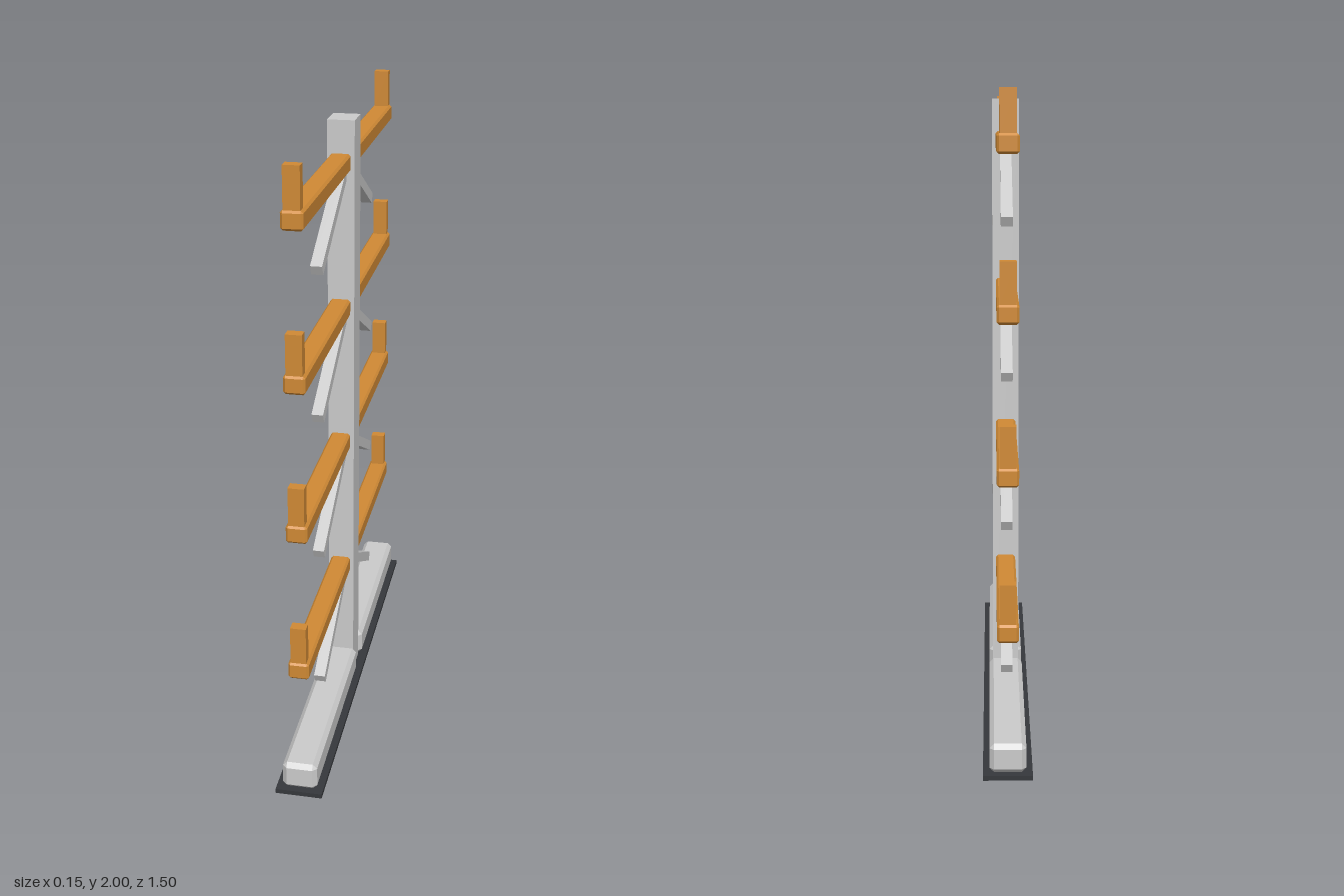
import * as THREE from 'three';
import { ConvexGeometry } from 'three/addons/geometries/ConvexGeometry.js';

const grey = new THREE.MeshStandardMaterial({ color: 0xcccccc, flatShading: true });
const orange = new THREE.MeshStandardMaterial({ color: 0xd08a35, flatShading: true });
const dark = new THREE.MeshStandardMaterial({ color: 0x36383c, flatShading: true });

// Box with every edge and corner cut by c
function chamferBox(w, h, d, c) {
  const points = [];
  for (const sx of [-1, 1]) for (const sy of [-1, 1]) for (const sz of [-1, 1]) {
    const x = w / 2, y = h / 2, z = d / 2;
    points.push(
      new THREE.Vector3(sx * x, sy * (y - c), sz * (z - c)),
      new THREE.Vector3(sx * (x - c), sy * y, sz * (z - c)),
      new THREE.Vector3(sx * (x - c), sy * (y - c), sz * z)
    );
  }
  return new ConvexGeometry(points);
}

function add(parent, name, geometry, material, y, z) {
  const mesh = new THREE.Mesh(geometry, material);
  mesh.name = name;
  mesh.position.set(0, y, z);
  parent.add(mesh);
  return mesh;
}

export function createModel() {
  const rack = new THREE.Group();
  rack.name = 'cantileverRack';

  add(rack, 'basePlate', new THREE.BoxGeometry(0.148, 0.015, 1.504), dark, 0.0075, 0);
  add(rack, 'post', new THREE.BoxGeometry(0.086, 1.965, 0.1), grey, 0.9975, 0);

  const footGeometry = chamferBox(0.11, 0.09, 0.694, 0.014);
  const armGeometry = chamferBox(0.064, 0.056, 0.678, 0.007);
  const stopGeometry = new THREE.BoxGeometry(0.048, 0.121, 0.034);

  // Brace runs from inside the post down and outward
  const inner = new THREE.Vector2(0.045, -0.035);
  const outer = new THREE.Vector2(0.418, -0.233);
  const middle = inner.clone().add(outer).multiplyScalar(0.5);
  const run = outer.clone().sub(inner);
  const braceGeometry = new THREE.BoxGeometry(0.036, 0.034, run.length());

  for (const side of [1, -1]) {
    add(rack, side > 0 ? 'frontFoot' : 'backFoot', footGeometry, grey, 0.06, side * 0.393);

    // Four levels of arms on each side
    for (let level = 0; level < 4; level++) {
      const arm = new THREE.Group();
      arm.name = (side > 0 ? 'frontArm' : 'backArm') + (level + 1);
      arm.position.y = 0.447 + level * 0.468;
      if (side < 0) arm.rotation.y = Math.PI;
      add(arm, 'beam', armGeometry, orange, 0, 0.392);
      add(arm, 'endStop', stopGeometry, orange, 0.0885, 0.71);
      const brace = add(arm, 'brace', braceGeometry, grey, middle.y, middle.x);
      brace.rotation.x = -Math.atan2(run.y, run.x);
      rack.add(arm);
    }
  }
  return rack;
}
